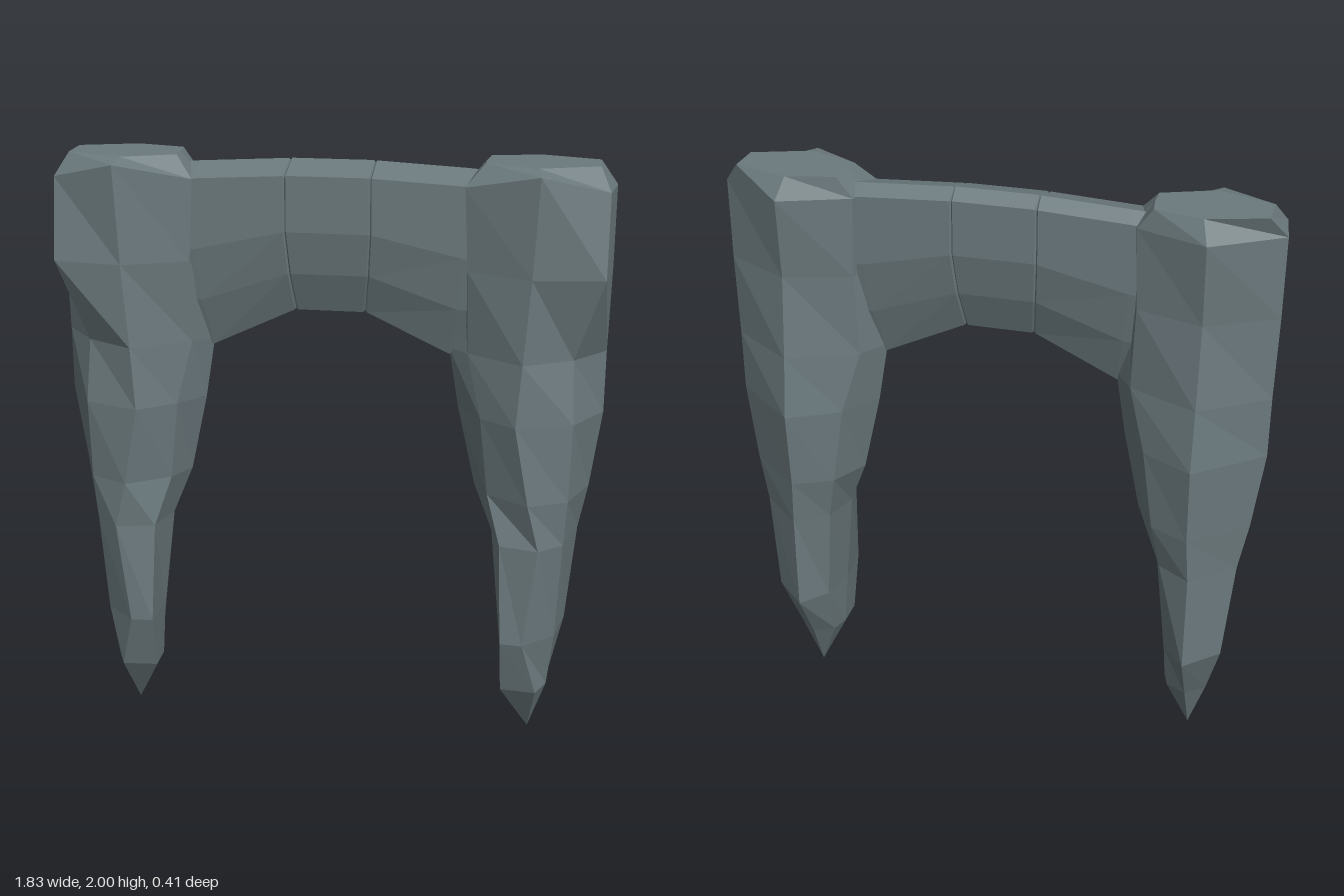
import * as THREE from 'three';

const stone = new THREE.MeshStandardMaterial({ color: 0x6b797d, flatShading: true });

// Skin a closed solid through rings of equal point count (counter-clockwise seen from the first end)
function loft(name, rings) {
  const n = rings[0].length, pos = [], idx = [];
  rings.forEach(r => r.forEach(p => pos.push(...p)));
  for (let k = 0; k < rings.length - 1; k++) {
    for (let i = 0; i < n; i++) {
      const j = (i + 1) % n, a = k * n + i, b = k * n + j;
      idx.push(a, a + n, b + n, a, b + n, b);
    }
  }
  const end = (rings.length - 1) * n;
  for (let i = 1; i < n - 1; i++) {
    idx.push(0, i, i + 1, end, end + i + 1, end + i);
  }
  const g = new THREE.BufferGeometry();
  g.setAttribute('position', new THREE.Float32BufferAttribute(pos, 3));
  g.setIndex(idx);
  const flat = g.toNonIndexed();
  flat.computeVertexNormals();
  const mesh = new THREE.Mesh(flat, stone);
  mesh.name = name;
  return mesh;
}

const mirror = rings => rings.map(r => r.map(([x, y, z]) => [-x, y, z]).reverse());

// Leg rings: height, then x,z of inner front, front ridge, outer front, outer back, back, inner back, inner
const legRings = [
  [2.0, .50, .06, .67, .13, .86, .06, .86, -.06, .67, -.12, .51, -.08, .50, 0],
  [1.93, .44, .11, .68, .20, .895, .125, .915, -.02, .69, -.165, .46, -.075, .44, 0],
  [1.66, .455, .11, .665, .20, .895, .17, .915, -.02, .69, -.145, .47, -.075, .435, .02],
  [1.38, .46, .085, .645, .20, .805, .11, .91, -.02, .69, -.175, .46, -.07, .395, .025],
  [1.17, .51, .12, .63, .21, .815, .145, .91, -.02, .69, -.205, .52, -.11, .43, .02],
  [.90, .54, .11, .68, .205, .81, .14, .875, -.03, .69, -.185, .56, -.12, .49, .01],
  [.74, .59, .17, .72, .20, .80, .13, .845, -.04, .70, -.17, .59, -.10, .555, .03],
  [.39, .605, .195, .68, .20, .785, .10, .815, -.06, .70, -.17, .62, -.08, .595, .05],
  [.19, .61, .14, .73, .15, .765, .07, .765, 0, .70, -.055, .63, -.02, .61, .04],
].map(([y, ...v], k) => Array.from({ length: 7 }, (_, i) =>
  // the front ridge rises almost to the top at the shoulder
  [v[2 * i], k === 1 && i === 1 ? 1.985 : y, v[2 * i + 1]]));
legRings.push(Array.from({ length: 7 }, () => [.705, 0, .035])); // pointed foot

// Bridge cross-section, narrowing to a keel below: top x, bottom x, bottom y, ridge y, seam chamfer
function section(xt, xb, yb, yt, s = 0) {
  const bend = yb + (yt - yb) * .56, mid = yb + (yt - yb) * .27;
  const xm = xb + (xt - xb) * .6;
  return [
    [xm, mid, .082 - s], [xb, yb + s, .03], [xb, yb + s, .02], [xm, mid, -.032 + s],
    [xt, bend, -.06 + s], [xt, yt - .035 - s, -.06 + s], [xt, yt - s, -.02],
    [xt, yt - .035 - s, .11 - s], [xt, bend, .11 - s],
  ];
}

export function createModel() {
  const group = new THREE.Group();
  group.name = 'stoneArch';

  // Craggy tapering legs
  group.add(loft('leftLeg', legRings), loft('rightLeg', mirror(legRings)));

  // Side blocks of the bridge, deepening toward the legs
  const side = [
    section(.52, .45, 1.36, 1.962),
    section(.44, .395, 1.36, 1.968),
    section(.144, .121, 1.489, 1.984),
    section(.139, .115, 1.492, 1.984, .006),
  ];
  group.add(loft('leftBridgeBlock', side), loft('rightBridgeBlock', mirror(side)));

  // Keystone in the middle
  group.add(loft('keystone', [
    section(.139, .115, 1.49, 1.985, .006),
    section(.134, .109, 1.49, 1.985),
    section(-.134, -.109, 1.49, 1.985),
    section(-.139, -.115, 1.49, 1.985, .006),
  ]));
  return group;
}
